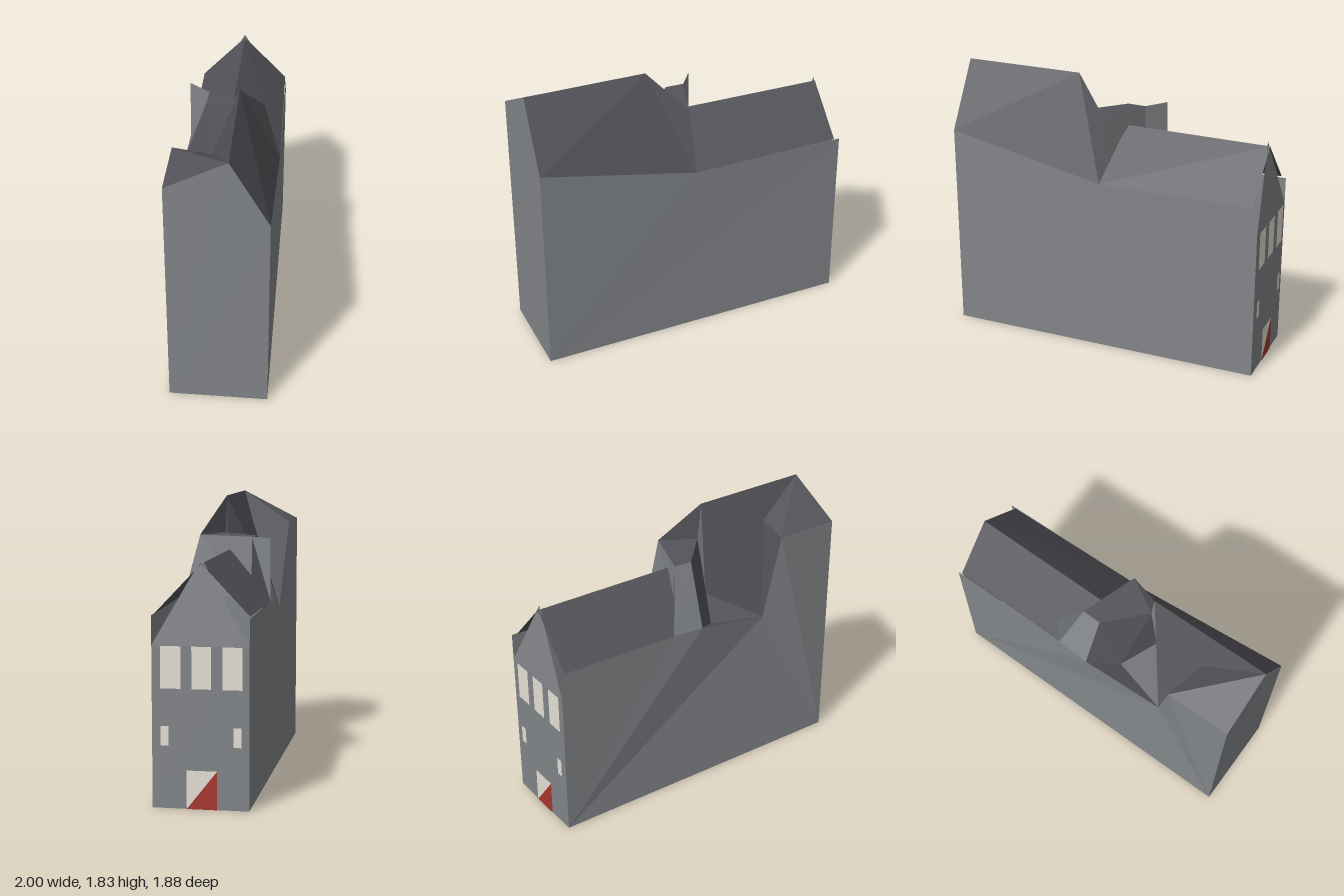
import * as THREE from 'three';

const mat = (name, color) => {
  const m = new THREE.MeshStandardMaterial({ color, side: THREE.DoubleSide, flatShading: true });
  m.name = name;
  return m;
};

export function createModel() {
  const wall = mat('wall grey', 0x828589);
  const roof = mat('roof slate', 0x55545a);
  const cream = mat('window cream', 0xe6e1d6);
  const red = mat('door red', 0xa8372e);
  const house = new THREE.Group();
  house.name = 'townhouse';

  // Flat faces, each a list of corners, joined into one mesh
  const part = (name, material, faces) => {
    const pos = [];
    for (const f of faces)
      for (let i = 1; i < f.length - 1; i++) pos.push(...f[0], ...f[i], ...f[i + 1]);
    const g = new THREE.BufferGeometry();
    g.setAttribute('position', new THREE.Float32BufferAttribute(pos, 3));
    g.computeVertexNormals();
    const mesh = new THREE.Mesh(g, material);
    mesh.name = name;
    house.add(mesh);
  };

  // Footprint corners at a given height
  const A = y => [-1, y, 0.46];
  const B = y => [-0.58, y, 0.94];
  const C = y => [1, y, -0.5];
  const D = y => [0.6, y, -0.94];

  // Roof corners
  const ridgeEnd = [-0.74, 1.83, 0.75], ridgeIn = [-0.14, 1.83, 0.21];
  const eaveMid = [0.21, 1.18, 0.23];
  const shelfBack = [-0.675, 1.63, 0.175], shelfIn = [-0.54, 1.63, 0.415];
  const valley = [-0.57, 1.04, 0.155], valleyIn = [-0.175, 1.15, 0.235], valleyMid = [-0.235, 1.07, -0.02];
  const deckFront = [0.135, 1.58, 0.15], deckRight = [-0.12, 1.58, 0.2];
  const deckBack = [-0.11, 1.58, -0.13], deckLeft = [-0.015, 1.58, -0.21];
  const finTop = [-0.03, 1.58, -0.38], finFoot = [-0.03, 1.17, -0.385];
  const wallDip = [-0.2, 1.16, -0.245];
  const lowRidgeIn = [-0.02, 1.49, 0.0], lowRidgeEnd = [0.775, 1.49, -0.7];
  const eaveFront = [0.97, 1.18, -0.48], eaveBack = [0.58, 1.18, -0.92];

  part('frontWall', wall, [[B(0), C(0), C(1.18), eaveMid], [B(0), eaveMid, B(1.4)]]);
  part('endWall', wall, [[A(0), B(0), B(1.4), ridgeEnd, A(1.63)]]);
  part('backWall', wall, [
    [D(0), A(0), valley],
    [A(0), A(1.63), shelfBack, valley],
    [D(0), valley, wallDip],
    [D(0), wallDip, finFoot, D(1.17)],
  ]);

  // Entrance wall with a gable leaning back to the ridge
  const apex = [0.765, 1.52, -0.69];
  part('entranceWall', wall, [[C(0), D(0), D(1), C(1)]]);
  part('entranceGable', wall, [[C(1), D(1), apex]]);

  // Tall roof and its stepped back side
  part('tallRoof', roof, [
    [B(1.4), eaveMid, ridgeIn, ridgeEnd],
    [ridgeIn, eaveMid, deckFront],
    [A(1.63), ridgeEnd, shelfBack],
    [shelfBack, ridgeEnd, shelfIn],
    [shelfBack, shelfIn, valley],
    [shelfIn, ridgeEnd, valley],
    [valley, ridgeEnd, ridgeIn, valleyIn],
  ]);
  part('middleRoof', roof, [
    [deckRight, deckFront, deckLeft, deckBack],
    [ridgeIn, deckFront, deckRight],
    [valley, valleyIn, valleyMid],
    [valley, valleyMid, wallDip],
    [valleyMid, valleyIn, deckRight],
    [valleyMid, deckRight, deckBack],
    [wallDip, valleyMid, deckBack],
  ]);
  part('middleWalls', wall, [
    [ridgeIn, deckRight, valleyIn],
    [deckFront, eaveMid, [-0.015, 1.18, -0.21], deckLeft],
    [deckLeft, finFoot, finTop],
    [deckBack, deckLeft, finFoot],
    [wallDip, deckBack, finFoot],
  ]);

  // Low roof over the entrance half
  part('lowRoof', roof, [
    [eaveMid, eaveFront, lowRidgeEnd, lowRidgeIn],
    [eaveBack, finFoot, lowRidgeIn, lowRidgeEnd],
  ]);

  // Painted details: t runs across the entrance wall from 0 to 1
  const onWall = (t, y) => [1 - 0.4 * t + 0.003, y, -0.5 - 0.44 * t - 0.003];
  const pane = (t0, t1, y0, y1) => [onWall(t0, y0), onWall(t1, y0), onWall(t1, y1), onWall(t0, y1)];
  part('upperWindows', cream, [[0.09, 0.3], [0.41, 0.61], [0.725, 0.93]].map(([a, b]) => pane(a, b, 0.74, 0.998)));
  part('smallWindows', cream, [[0.09, 0.172], [0.84, 0.92]].map(([a, b]) => pane(a, b, 0.39, 0.51)));
  const door = pane(0.356, 0.67, 0, 0.24);
  part('doorUpperHalf', cream, [[door[0], door[2], door[3]]]);
  part('doorLowerHalf', red, [[door[0], door[1], door[2]]]);

  return house;
}
